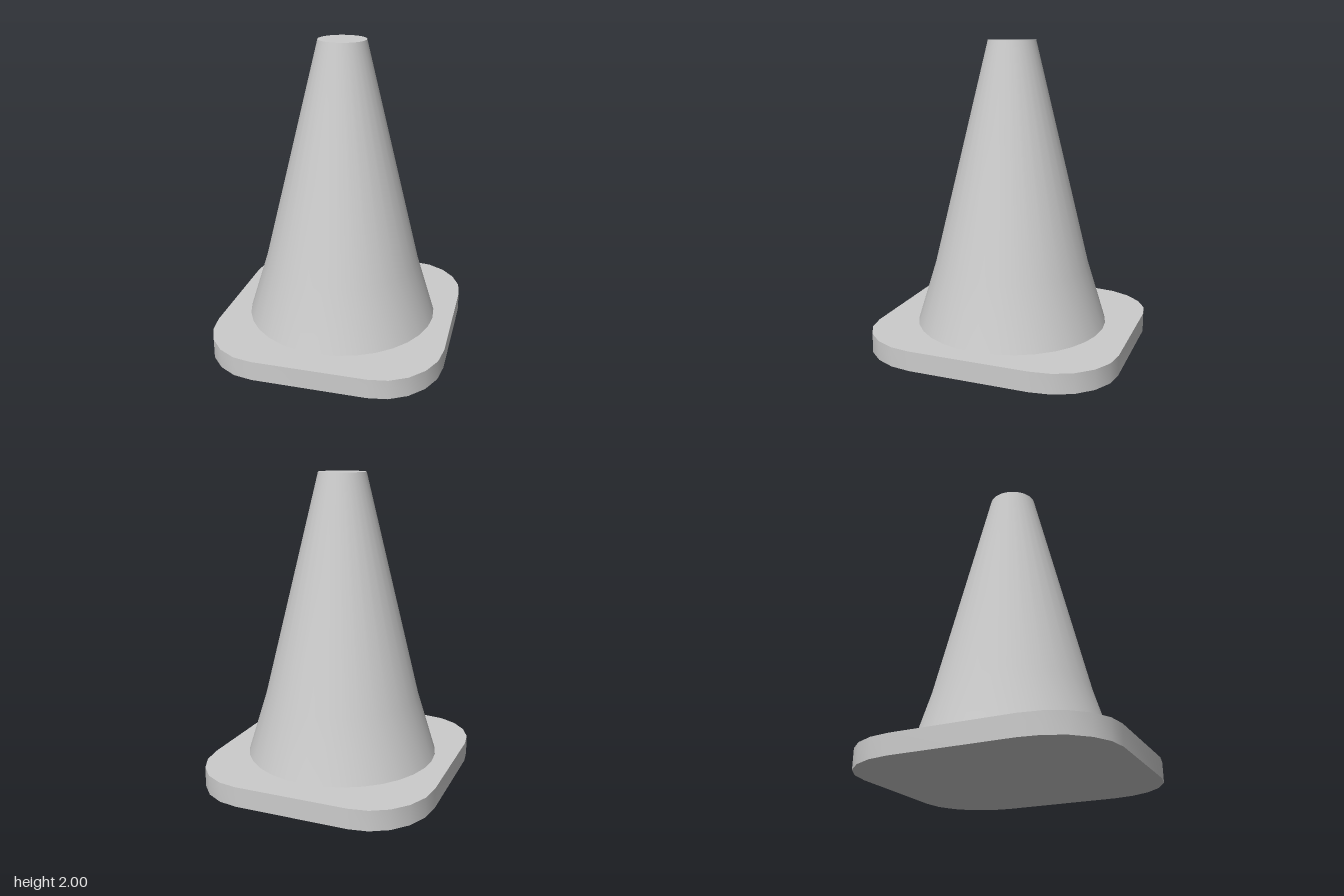
import * as THREE from 'three';
import { toCreasedNormals } from 'three/addons/utils/BufferGeometryUtils.js';

const BASE_HEIGHT = 0.13;

// Rounded rectangle with five facets per elliptical corner
function baseOutline(halfX, halfZ, rx, rz, steps = 5) {
  const points = [];
  for (let corner = 0; corner < 4; corner++) {
    const sx = corner === 0 || corner === 3 ? 1 : -1;
    const sz = corner < 2 ? 1 : -1;
    for (let i = 0; i <= steps; i++) {
      const a = (corner + i / steps) * Math.PI / 2;
      points.push(new THREE.Vector2(
        sx * (halfX - rx) + rx * Math.cos(a),
        sz * (halfZ - rz) + rz * Math.sin(a)
      ));
    }
  }
  return new THREE.Shape(points);
}

export function createModel() {
  const model = new THREE.Group();
  model.name = 'trafficCone';
  const material = new THREE.MeshStandardMaterial({ color: 0xcccccc });

  // Flat foot plate
  let plate = new THREE.ExtrudeGeometry(baseOutline(0.77, 0.83, 0.4, 0.44), {
    depth: BASE_HEIGHT, bevelEnabled: false
  });
  plate.rotateX(-Math.PI / 2);
  plate = toCreasedNormals(plate, 0.6);
  const base = new THREE.Mesh(plate, material);
  base.name = 'base';

  // Tapered body, flaring slightly near the foot, closed by a flat top
  const profile = [[0.637, BASE_HEIGHT], [0.514, 0.53], [0.155, 2], [0, 2]]
    .map(([r, y]) => new THREE.Vector2(r, y));
  const cone = new THREE.Mesh(
    toCreasedNormals(new THREE.LatheGeometry(profile, 32), 0.6), material);
  cone.name = 'cone';
  cone.position.z = 0.004;

  model.add(base, cone);
  return model;
}
